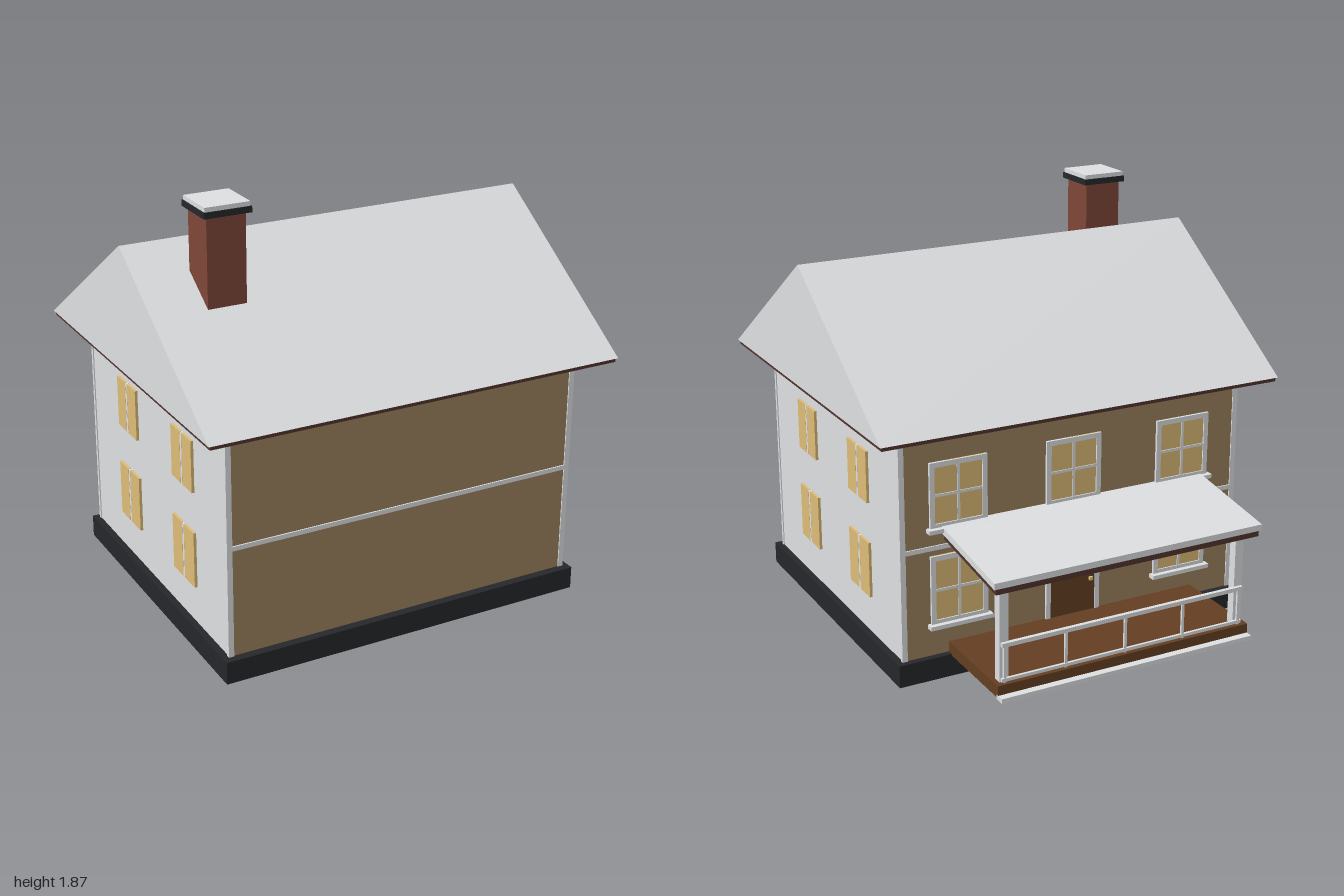
import * as THREE from 'three';

const mat = (name, color) => {
  const m = new THREE.MeshStandardMaterial({ color });
  m.name = name;
  return m;
};

export function createModel() {
  const white = mat('white paint', 0xdcdee0);
  const timber = mat('tan cladding', 0x9c815e);
  const stone = mat('dark foundation', 0x25272a);
  const soffit = mat('dark brown soffit', 0x52342e);
  const brick = mat('red brick', 0x7e4638);
  const glass = mat('warm glass', 0xdcbb77);
  const deckWood = mat('deck wood', 0x643f22);

  const house = new THREE.Group();
  house.name = 'house';
  const group = (name) => {
    const g = new THREE.Group();
    g.name = name;
    house.add(g);
    return g;
  };
  // Box given by its extents on each axis
  const box = (parent, name, material, [x0, x1], [y0, y1], [z0, z1]) => {
    const m = new THREE.Mesh(new THREE.BoxGeometry(x1 - x0, y1 - y0, z1 - z0), material);
    m.position.set((x0 + x1) / 2, (y0 + y1) / 2, (z0 + z1) / 2);
    m.name = name;
    parent.add(m);
    return m;
  };
  // Profile of [z, y] points extruded along x, centred
  const extrudeX = (parent, name, material, points, width) => {
    const shape = new THREE.Shape(points.map(([z, y]) => new THREE.Vector2(-z, y)));
    const geo = new THREE.ExtrudeGeometry(shape, { depth: width, bevelEnabled: false });
    geo.translate(0, 0, -width / 2).rotateY(Math.PI / 2);
    const m = new THREE.Mesh(geo, material);
    m.name = name;
    parent.add(m);
  };

  // Main body
  box(house, 'foundation', stone, [-0.84, 0.84], [0, 0.1], [-0.545, 0.905]);
  box(house, 'walls', white, [-0.81, 0.81], [0.1, 1.1], [-0.51, 0.865]);
  for (const [side, z] of [['front', 0.865], ['back', -0.513]]) {
    const w = group(side + 'Cladding');
    box(w, 'claddingPanel', timber, [-0.795, 0.795], [0.1, 1.1], [z - 0.003, z + 0.003]);
    box(w, 'floorBand', white, [-0.8, 0.8], [0.575, 0.595], [z - 0.009, z + 0.009]);
    for (const s of [-1, 1])
      box(w, 'cornerTrim', white, [s * 0.803 - 0.012, s * 0.803 + 0.012], [0.1, 1.1], [z - 0.008, z + 0.008]);
  }

  // Gable roof
  extrudeX(house, 'roof', white, [[1, 1.108], [0.18, 1.652], [-0.64, 1.108]], 1.88);
  box(house, 'eavesBoard', soffit, [-0.932, 0.932], [1.09, 1.108], [-0.632, 0.992]);

  // Chimney
  const chimney = group('chimney');
  box(chimney, 'chimneyStack', brick, [-0.7, -0.53], [1.3, 1.82], [0.325, 0.495]);
  box(chimney, 'chimneyCollar', stone, [-0.717, -0.51], [1.82, 1.846], [0.305, 0.512]);
  box(chimney, 'chimneyCap', white, [-0.712, -0.515], [1.846, 1.865], [0.31, 0.507]);

  // Side windows: a pair of panes with a centre bar
  for (const s of [-1, 1])
    for (const z of [0.465, -0.105])
      for (const [y0, y1, half] of [[0.7, 0.93, 0.099], [0.27, 0.52, 0.105]]) {
        const w = group('sideWindow');
        const xs = [s * 0.8155 - 0.0065, s * 0.8155 + 0.0065];
        box(w, 'pane', glass, xs, [y0, y1], [z + 0.009, z + half]);
        box(w, 'pane', glass, xs, [y0, y1], [z - half, z - 0.009]);
        box(w, 'centreBar', white, xs, [y0, y1], [z - 0.007, z + 0.007]);
      }

  // Back windows: framed, four panes, projecting sill
  const backWindow = (x, y0, y1) => {
    const w = group('backWindow');
    const ym = (y0 + y1) / 2, h = 0.12, z = [-0.528, -0.514];
    box(w, 'glass', glass, [x - h, x + h], [y0, y1], [-0.522, -0.514]);
    for (const s of [-1, 1])
      box(w, 'frameSide', white, [x + s * h - 0.011, x + s * h + 0.011], [y0, y1], z);
    box(w, 'frameTop', white, [x - h - 0.011, x + h + 0.011], [y1 - 0.022, y1], z);
    box(w, 'frameBottom', white, [x - h, x + h], [y0, y0 + 0.022], z);
    box(w, 'mullion', white, [x - 0.006, x + 0.006], [y0, y1], [-0.526, -0.514]);
    box(w, 'crossBar', white, [x - h, x + h], [ym - 0.006, ym + 0.006], [-0.526, -0.514]);
    box(w, 'sill', white, [x - 0.145, x + 0.145], [y0 - 0.012, y0 + 0.006], [-0.55, -0.514]);
  };
  for (const x of [-0.53, 0.01, 0.55]) backWindow(x, 0.67, 0.96);
  for (const x of [-0.53, 0.55]) backWindow(x, 0.24, 0.55);

  // Back door
  const door = group('backDoor');
  box(door, 'doorLeaf', deckWood, [-0.1, 0.12], [0.145, 0.54], [-0.524, -0.514]);
  box(door, 'doorGlass', glass, [-0.06, 0.08], [0.33, 0.51], [-0.528, -0.522]);
  box(door, 'doorKnob', glass, [-0.085, -0.07], [0.288, 0.303], [-0.537, -0.522]);
  for (const x of [-0.11, 0.13])
    box(door, 'doorJamb', white, [x - 0.011, x + 0.011], [0.145, 0.56], [-0.528, -0.514]);
  box(door, 'doorHead', white, [-0.121, 0.141], [0.54, 0.56], [-0.528, -0.514]);

  // Porch
  const porch = group('porch');
  box(porch, 'porchDeck', deckWood, [-0.6, 0.6], [0.093, 0.147], [-0.965, -0.515]);
  box(porch, 'porchStep', white, [-0.6, 0.6], [0.085, 0.105], [-0.998, -0.952]);
  extrudeX(porch, 'porchRoof', white, [[-0.515, 0.681], [-0.515, 0.65], [-0.995, 0.585], [-0.995, 0.612]], 1.26);
  extrudeX(porch, 'porchCeiling', soffit, [[-0.525, 0.651], [-0.525, 0.62], [-0.988, 0.558], [-0.988, 0.586]], 1.24);
  for (const x of [-0.56, 0.56])
    box(porch, 'porchPost', white, [x - 0.02, x + 0.02], [0.147, 0.58], [-0.94, -0.9]);
  box(porch, 'topRail', white, [-0.575, 0.575], [0.305, 0.323], [-0.955, -0.937]);
  box(porch, 'bottomRail', white, [-0.575, 0.575], [0.152, 0.166], [-0.952, -0.94]);
  for (let i = -2; i <= 2; i++)
    box(porch, 'baluster', white, [i * 0.28 - 0.006, i * 0.28 + 0.006], [0.147, 0.31], [-0.95, -0.94]);

  return house;
}
